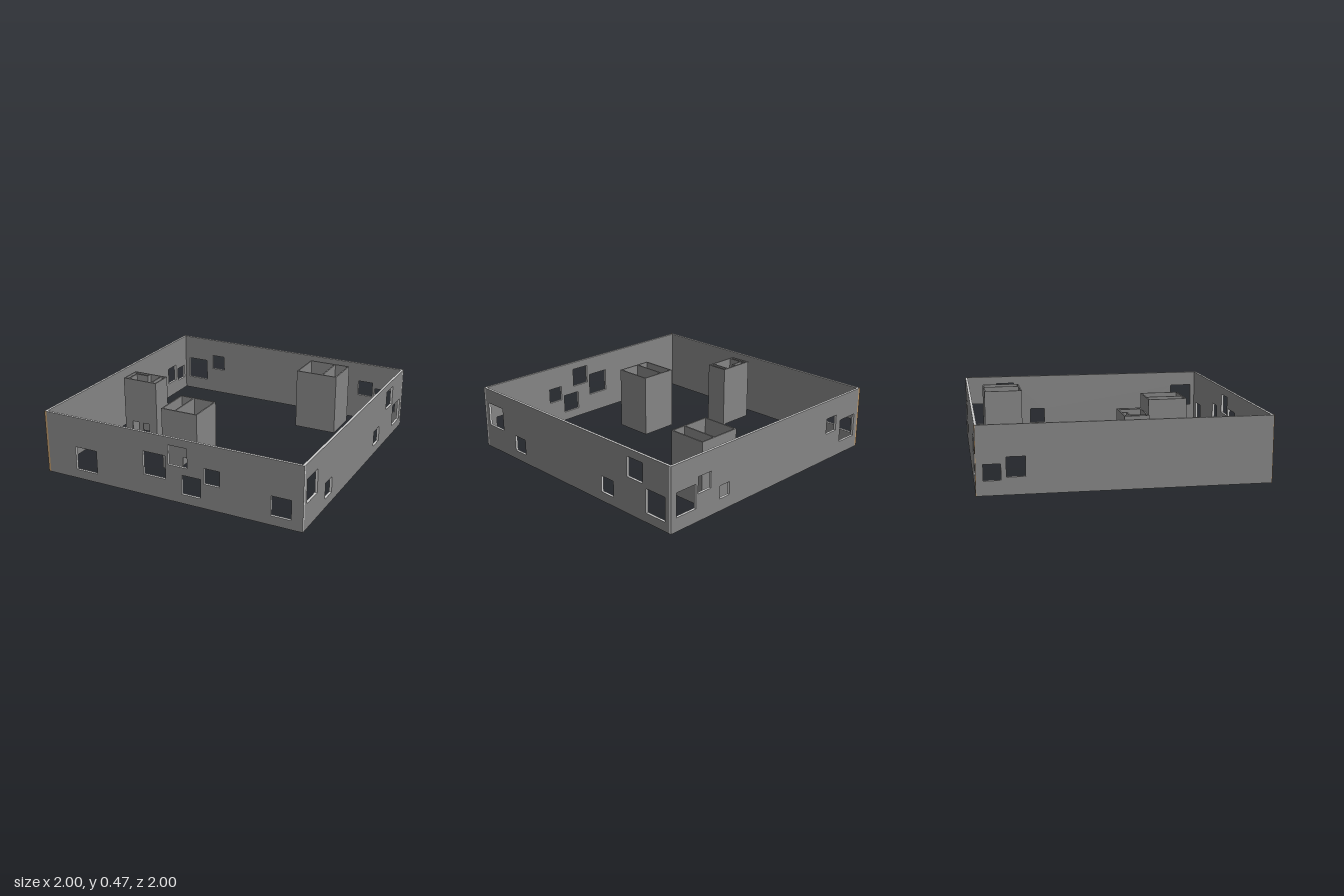
import * as THREE from 'three';

const H = 0.47;        // wall height
const T = 0.018;       // outer wall thickness
const P = 0.01;        // inner wall thickness
const CAP = 0.004;     // end strip thickness

const paint = (color) => new THREE.MeshStandardMaterial({ color, flatShading: true });
const wallGrey = paint(0x848484);
const edgeGrey = paint(0xcccccc);
const tan = paint(0xb89468);
const outerFinish = [wallGrey, edgeGrey];   // faces, then tops and window reveals

// Upright slab from a to b; windows are [from, to, bottom, top], doors [from, to, top]
function slab(a, b, thickness, windows = [], doors = []) {
  const shape = new THREE.Shape();
  shape.moveTo(a, 0);
  for (const [d0, d1, top] of doors) {
    shape.lineTo(d0, 0);
    shape.lineTo(d0, top);
    shape.lineTo(d1, top);
    shape.lineTo(d1, 0);
  }
  shape.lineTo(b, 0);
  shape.lineTo(b, H);
  shape.lineTo(a, H);
  shape.closePath();
  for (const [w0, w1, low, high] of windows) {
    const hole = new THREE.Path();
    hole.moveTo(w0, low);
    hole.lineTo(w0, high);
    hole.lineTo(w1, high);
    hole.lineTo(w1, low);
    hole.closePath();
    shape.holes.push(hole);
  }
  return new THREE.ExtrudeGeometry(shape, { depth: thickness, bevelEnabled: false });
}

function addMesh(parent, name, geometry, material) {
  const mesh = new THREE.Mesh(geometry, material);
  mesh.name = name;
  parent.add(mesh);
}

// Wall running along x, occupying z .. z + t
function wallX(parent, name, x0, x1, z, t, material, windows, doors) {
  addMesh(parent, name, slab(x0, x1, t, windows, doors).translate(0, 0, z), material);
}

// Wall running along z, occupying x .. x + t
function wallZ(parent, name, z0, z1, x, t, material, windows) {
  addMesh(parent, name, slab(z0, z1, t, windows).rotateY(-Math.PI / 2).translate(x + t, 0, 0), material);
}

// Open-topped shaft with cross partitions at the given x positions
function shaft(name, x0, x1, z0, z1, partitions, doors) {
  const group = new THREE.Group();
  group.name = name;
  wallX(group, 'shaftBack', x0, x1, z0, P, wallGrey);
  wallX(group, 'shaftFront', x0, x1, z1 - P, P, wallGrey, [], doors);
  wallZ(group, 'shaftRight', z0 + P, z1 - P, x0, P, wallGrey);
  wallZ(group, 'shaftLeft', z0 + P, z1 - P, x1 - P, P, wallGrey);
  for (const x of partitions) wallZ(group, 'partition', z0 + P, z1 - P, x - P / 2, P, wallGrey);
  return group;
}

export function createModel() {
  const model = new THREE.Group();
  model.name = 'walledEnclosure';

  // Outer walls with window openings
  const outer = new THREE.Group();
  outer.name = 'outerWalls';
  wallX(outer, 'frontWall', -1 + T, 1, 1 - T, T, outerFinish, [
    [-0.747, -0.572, 0.068, 0.243],
    [-0.187, -0.012, 0.153, 0.328],
    [0.012, 0.157, 0.268, 0.413],
    [0.112, 0.257, 0.068, 0.211],
    [0.283, 0.402, 0.183, 0.298],
    [0.772, 0.917, 0.068, 0.211],
  ]);
  wallX(outer, 'backWall', -1 + T, 1, -1, T, outerFinish, [
    [-0.945, -0.77, 0.1, 0.275],
    [-0.715, -0.6, 0.21, 0.33],
    [0.455, 0.55, 0.09, 0.185],
    [0.635, 0.755, 0.2, 0.32],
    [0.775, 0.95, 0.1, 0.275],
  ]);
  wallZ(outer, 'leftWall', -1 + T, 1 - T, 1 - T, T, outerFinish, [
    [-0.948, -0.773, 0.068, 0.243],
    [-0.743, -0.598, 0.268, 0.413],
    [-0.458, -0.338, 0.068, 0.187],
    [0.51, 0.63, 0.068, 0.187],
    [0.773, 0.948, 0.183, 0.358],
  ]);
  wallZ(outer, 'rightWall', -1 + CAP, 1 - CAP, -1, T, outerFinish, [
    [-0.95, -0.835, 0.1, 0.21],
    [-0.8, -0.675, 0.12, 0.255],
  ]);

  // Tan strips closing both ends of the right wall
  for (const side of [-1, 1]) {
    const strip = new THREE.BoxGeometry(T, H, CAP).translate(-1 + T / 2, H / 2, side * (1 - CAP / 2));
    addMesh(outer, 'endStrip', strip, tan);
  }
  model.add(outer);

  // Three inner shafts
  model.add(shaft('backShaft', 0.257, 0.588, -0.875, -0.588, [0.469], []));
  model.add(shaft('frontShaft', -0.29, -0.002, 0.293, 0.58, [-0.18], [[-0.12, -0.065, 0.12]]));
  const side = shaft('sideShaft', -0.875, -0.588, 0, 0.17, [-0.835, -0.632],
    [[-0.81, -0.755, 0.12], [-0.713, -0.658, 0.12]]);

  // Small duct inside the side shaft
  wallX(side, 'ductFront', -0.83, -0.73, 0.04, P, wallGrey);
  wallZ(side, 'ductSide', P, 0.04, -0.74, P, wallGrey);
  model.add(side);

  return model;
}
